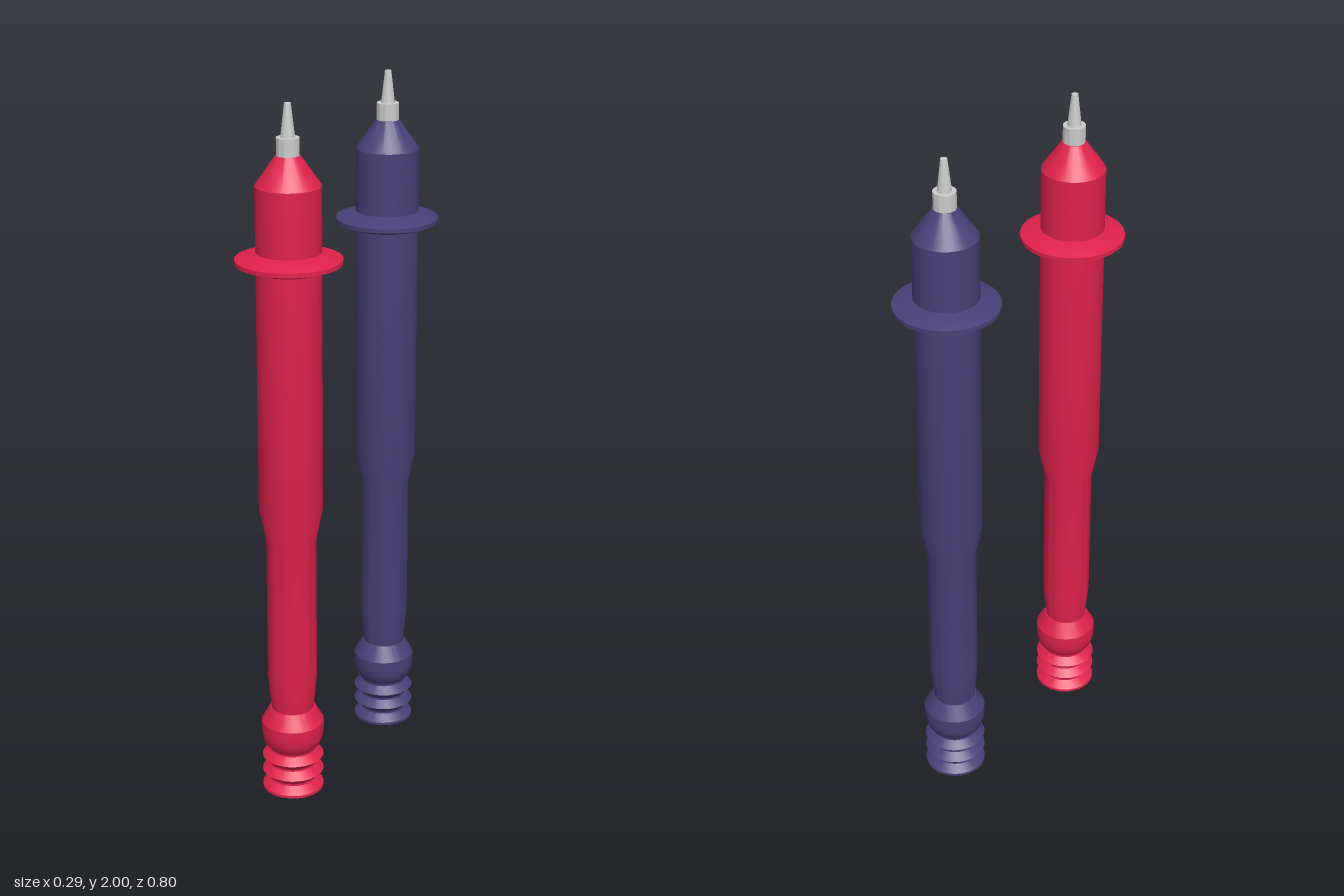
import * as THREE from 'three';
import { toCreasedNormals } from 'three/addons/utils/BufferGeometryUtils.js';

// Turned part from [radius, height] pairs, listed bottom to top
function turned(name, points, material) {
  const profile = points.map(([r, y]) => new THREE.Vector2(r, y));
  const geometry = toCreasedNormals(new THREE.LatheGeometry(profile, 48), 0.45);
  const mesh = new THREE.Mesh(geometry, material);
  mesh.name = name;
  return mesh;
}

function createProbe(name, color, z) {
  const plastic = new THREE.MeshStandardMaterial({ color });
  const metal = new THREE.MeshStandardMaterial({ color: 0xcccccc });
  const probe = new THREE.Group();
  probe.name = name;
  probe.position.z = z;

  // Ribbed strain relief: flared rings separated by grooves, then a rounded collar
  const relief = [[0, 0], [0.088, 0]];
  for (const y of [0.008, 0.055, 0.102]) {
    relief.push([0.088, y], [0.066, y + 0.02], [0.066, y + 0.026]);
  }
  relief.push([0.08, 0.145], [0.087, 0.165], [0.089, 0.185], [0.089, 0.212], [0.064, 0.256], [0, 0.256]);
  probe.add(turned('strainRelief', relief, plastic));

  // Handle: slim grip widening to the barrel, with a conical nose
  probe.add(turned('handle', [
    [0, 0.25], [0.06, 0.25], [0.062, 0.27], [0.07, 0.36], [0.07, 0.775],
    [0.089, 0.87], [0.089, 1.782], [0.033, 1.862], [0, 1.862],
  ], plastic));

  // Finger guard
  probe.add(turned('fingerGuard', [
    [0.08, 1.553], [0.09, 1.553], [0.145, 1.572], [0.145, 1.584], [0.09, 1.604], [0.08, 1.604],
  ], plastic));

  // Metal ferrule and tapered contact
  probe.add(turned('ferrule', [[0, 1.855], [0.031, 1.855], [0.031, 1.91], [0, 1.91]], metal));
  probe.add(turned('contactTip', [[0, 1.905], [0.02, 1.905], [0.009, 2], [0, 2]], metal));
  return probe;
}

export function createModel() {
  const model = new THREE.Group();
  model.name = 'testProbes';
  model.add(createProbe('redProbe', 0xe0224d, 0.256), createProbe('blueProbe', 0x484078, -0.256));
  return model;
}
